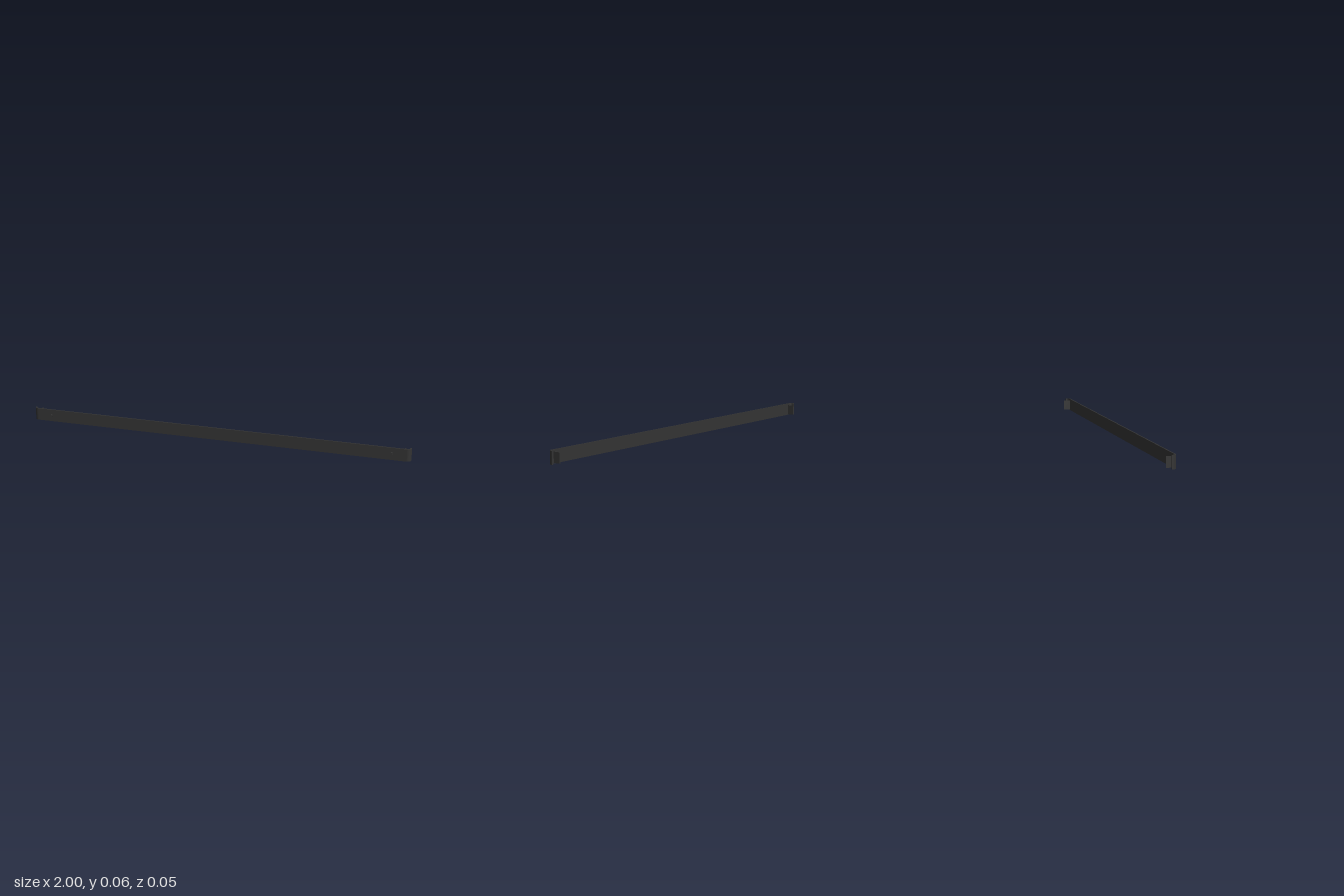
import * as THREE from 'three';

const dark = new THREE.MeshStandardMaterial({ color: 0x333333 });
const HEIGHT = 0.064, FRONT = 0.016, THICK = 0.007, BACK = -0.009, RADIUS = 0.022;

function add(group, name, geometry, x, y, z) {
  const mesh = new THREE.Mesh(geometry, dark);
  mesh.name = name;
  mesh.position.set(x, y, z);
  group.add(mesh);
  return mesh;
}

// Plan outline of the rail, drawn with y = -z: a long plate with both ends curled backwards
function railGeometry() {
  const f = -FRONT, b = -BACK, r = RADIUS, t = THICK, c = f + r;
  const s = new THREE.Shape();
  s.moveTo(-1 + r, f);
  s.lineTo(1 - r, f);
  s.absarc(1 - r, c, r, -Math.PI / 2, 0, false);
  s.lineTo(1, b);
  s.lineTo(1 - t, b);
  s.lineTo(1 - t, c);
  s.absarc(1 - r, c, r - t, 0, -Math.PI / 2, true);
  s.lineTo(-1 + r, f + t);
  s.absarc(-1 + r, c, r - t, -Math.PI / 2, -Math.PI, true);
  s.lineTo(-1 + t, b);
  s.lineTo(-1, b);
  s.lineTo(-1, c);
  s.absarc(-1 + r, c, r, Math.PI, Math.PI * 1.5, false);
  const g = new THREE.ExtrudeGeometry(s, { depth: HEIGHT, bevelEnabled: false, curveSegments: 8 });
  return g.rotateX(-Math.PI / 2);
}

// Stepped round bolt head pointing to the front
function boltGeometry() {
  const profile = [[0, 0], [0.008, 0], [0.008, 0.008], [0.005, 0.008], [0.005, 0.011], [0, 0.011]];
  const points = profile.map(([r, h]) => new THREE.Vector2(r, h));
  return new THREE.LatheGeometry(points, 20).toNonIndexed().rotateX(Math.PI / 2);
}

export function createModel() {
  const model = new THREE.Group();
  model.name = 'rail';
  add(model, 'railPlate', railGeometry(), 0, 0, 0);

  const tabFront = FRONT - THICK, tabBack = -0.026;
  for (const side of [1, -1]) {
    const label = side > 0 ? 'left' : 'right';
    // Mounting tab behind the plate
    add(model, label + 'Tab', new THREE.BoxGeometry(0.005, 0.052, tabFront - tabBack),
      side * 0.968, 0.029, (tabFront + tabBack) / 2);
    // Bolt on the front face
    const bolt = boltGeometry();
    bolt.computeVertexNormals();
    add(model, label + 'Bolt', bolt, side * 0.905, 0.033, FRONT - 0.001);
  }
  return model;
}
